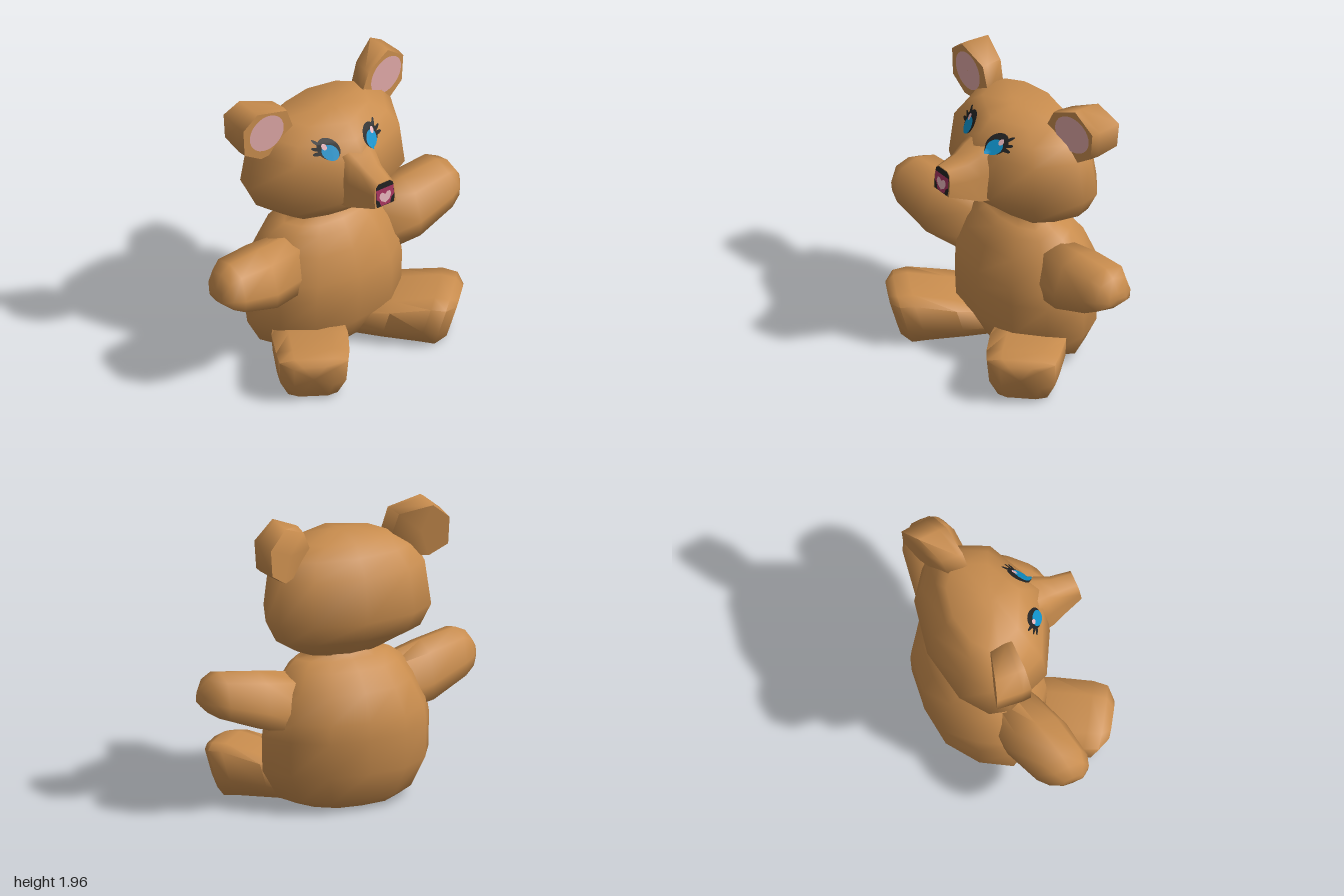
import * as THREE from 'three';
import { toCreasedNormals } from 'three/addons/utils/BufferGeometryUtils.js';

const mat = (name, color) => Object.assign(new THREE.MeshStandardMaterial({ color }), { name });

// Closed skin through a list of rings (each ring a list of [x, y, z]), capped at both ends
function loft(rings, crease = 1.5) {
  const n = rings[0].length, pos = rings.flat(2), idx = [];
  const centre = ring => [0, 1, 2].map(k => ring.reduce((s, p) => s + p[k], 0) / n);
  const last = (rings.length - 1) * n, c0 = rings.length * n;
  pos.push(...centre(rings[0]), ...centre(rings[rings.length - 1]));
  for (let i = 0; i < n; i++) {
    const j = (i + 1) % n;
    for (let r = 0; r < last; r += n) idx.push(r + i, r + j, r + n + j, r + i, r + n + j, r + n + i);
    idx.push(c0, j, i, c0 + 1, last + i, last + j);
  }
  // turn the faces outward if the rings ran the other way
  const v = k => new THREE.Vector3().fromArray(pos, idx[k] * 3);
  let volume = 0;
  for (let k = 0; k < idx.length; k += 3) volume += v(k).dot(v(k + 1).cross(v(k + 2)));
  if (volume < 0) idx.reverse();
  const g = new THREE.BufferGeometry();
  g.setAttribute('position', new THREE.Float32BufferAttribute(pos, 3));
  g.setIndex(idx);
  return toCreasedNormals(g, crease);
}

// Horizontal ring from a half outline of [width fraction, depth fraction], front to back
function ring(half, [y, w, front, back]) {
  const right = half.slice(1, -1).reverse().map(([u, t]) => [-u, t]);
  return [...half, ...right].map(([u, t]) => [u * w, y, back + (front - back) * t]);
}

export function createModel() {
  const model = new THREE.Group();
  model.name = 'teddyBear';
  const fur = mat('brown fur', 0xc98d4e), pink = mat('ear pink', 0xdfa8a6), black = mat('black', 0x222222);
  const blue = mat('eye blue', 0x0f90c8), magenta = mat('nose magenta', 0xa8355f), pale = mat('pale pink', 0xeab8bf);

  const add = (name, geometry, material = fur) => {
    const mesh = new THREE.Mesh(geometry, material);
    mesh.name = name;
    model.add(mesh);
    return mesh;
  };

  // Body
  const bodyHalf = [[0, 1], [0.5, 0.94], [0.81, 0.75], [1, 0.48], [0.81, 0.23], [0.46, 0.04], [0, 0]];
  add('body', loft([
    [0.03, 0.36, 0, -0.45], [0.08, 0.48, 0.1, -0.49], [0.27, 0.585, 0.2, -0.56], [0.5, 0.59, 0.21, -0.57],
    [0.62, 0.57, 0.21, -0.57], [0.8, 0.48, 0.15, -0.5], [0.92, 0.4, 0.08, -0.4],
    [0.97, 0.33, 0.03, -0.31], [1.0, 0.25, -0.01, -0.27], [1.04, 0.25, -0.02, -0.26],
  ].map(l => ring(bodyHalf, l))));

  // Head: blunt around the jaw, more wedge-shaped from the eyes up
  const headBack = [[1, 0.4], [0.94, 0.24], [0.63, 0.08], [0, 0]];
  const jaw = [[0, 1], [0.3, 0.95], [0.77, 0.78], ...headBack];
  const brow = [[0, 1], [0.34, 0.89], [0.77, 0.75], ...headBack];
  const head = add('head', loft([
    ...[[1.0, 0.25, -0.01, -0.27], [1.03, 0.33, 0.03, -0.29], [1.14, 0.5, 0.16, -0.47], [1.28, 0.57, 0.28, -0.54]]
      .map(l => ring(jaw, l)),
    ...[[1.57, 0.535, 0.27, -0.5], [1.68, 0.45, 0.18, -0.41], [1.765, 0.31, 0.1, -0.36], [1.79, 0.08, -0.05, -0.15]]
      .map(l => ring(brow, l)),
  ]));

  // Snout: narrower at the top, with a slightly tilted flat tip
  const snout = add('snout', loft([
    // z, bottom half width, top half width, bottom y, top y
    [0.15, 0.16, 0.13, 1.25, 1.64], [0.28, 0.14, 0.1, 1.268, 1.6],
    [0.36, 0.115, 0.08, 1.3, 1.56], [0.5, 0.08, 0.07, 1.355, 1.53],
  ].map(([z, b, t, lo, hi]) => [[b, lo], [(b + t) / 2 + 0.005, (lo + hi) / 2], [t, hi - 0.02], [t * 0.6, hi],
    [-t * 0.6, hi], [-t, hi - 0.02], [-(b + t) / 2 - 0.005, (lo + hi) / 2], [-b, lo]]
    .map(([x, y]) => [x, y, z - 0.08 * (y - 1.355)])), 1.2));

  // Ears: wedges that thicken toward the outside, with the front leaning back
  const ear = (name, outline, zAt) => {
    const cx = outline.reduce((s, p) => s + p[0], 0) / outline.length;
    return add(name, loft([[0, 0.98], [0.25, 1], [1, 0.92]].map(([d, k]) => outline.map(([x, y]) => {
      const px = cx + (x - cx) * k, out = Math.abs(px);
      return [px, 1.76 + (y - 1.76) * k, zAt(out) - d * (0.13 + 0.27 * (out - 0.28))];
    })), 1.3));
  };
  const leftEar = ear('leftEar',
    [[0.27, 1.75], [0.33, 1.88], [0.51, 1.96], [0.655, 1.84], [0.64, 1.65], [0.51, 1.56], [0.34, 1.6]],
    x => -0.145 - 0.21 * (x - 0.32));
  const rightEar = ear('rightEar',
    [[-0.29, 1.74], [-0.34, 1.89], [-0.57, 1.945], [-0.68, 1.855], [-0.67, 1.66], [-0.54, 1.58], [-0.36, 1.6]],
    x => -0.1 - 0.03 * (x - 0.32));

  // Arms: rings along x, swung by a slope in z
  const arm = (name, side, z0, slope) => add(name, loft([
    // x, bottom y, top y, bottom half depth, top half depth
    [0.3, 0.5, 0.89, 0.17, 0.11], [0.6, 0.545, 0.935, 0.21, 0.14], [0.87, 0.65, 0.965, 0.18, 0.13],
    [0.95, 0.7, 0.925, 0.14, 0.1], [1.0, 0.75, 0.84, 0.07, 0.06],
  ].map(([x, lo, hi, b, t]) => {
    const h = hi - lo;
    return [[0, hi], [t, hi - h * 0.12], [b, lo + h * 0.4], [b * 0.95, lo + h * 0.12], [0, lo],
      [-b * 0.95, lo + h * 0.12], [-b, lo + h * 0.4], [-t, hi - h * 0.12]]
      .map(([z, y]) => [side * x, y, z0 + slope * x + z]);
  })));
  arm('leftArm', 1, -0.16, 0.01);
  arm('rightArm', -1, -0.17, 0.21);

  // Legs: rings along the leg direction, ending in a sole that leans forward at the top
  const legRing = [[1, 0.93], [0.55, 1], [-0.55, 1], [-1, 0.93], [-0.96, 0.35], [-0.72, 0], [0.72, 0], [0.96, 0.35]];
  const leg = (name, [ex, ez], [dx, dz]) => add(name, loft([
    // distance from the sole, half width, bottom y, top y
    [-0.75, 0.2, 0.04, 0.21], [-0.35, 0.245, 0.035, 0.29], [-0.1, 0.235, 0.02, 0.345],
    [0, 0.22, 0.005, 0.335], [0.06, 0.13, 0.03, 0.31],
  ].map(([s, w, lo, hi]) => legRing.map(([u, v]) => {
    const y = lo + (hi - lo) * v, along = s + 0.28 * (y - 0.33);
    return [ex + dx * along + dz * u * w, y, ez + dz * along - dx * u * w];
  }))));
  leg('leftLeg', [0.635, 0.35], [0.707, 0.707]);
  leg('rightLeg', [-0.53, 0.46], [-0.52, 0.854]);

  // Painted details: flat patches laid onto the surface from the front
  const ray = new THREE.Raycaster(), ahead = new THREE.Vector3(0, 0, -1);
  const paint = (name, targets, geometry, material, lift) => {
    const p = geometry.attributes.position;
    for (let i = 0; i < p.count; i++) {
      ray.set(new THREE.Vector3(p.getX(i), p.getY(i), 3), ahead);
      const hit = ray.intersectObjects(targets)[0];
      if (hit) p.setZ(i, hit.point.z + lift);
    }
    geometry.computeVertexNormals();
    return add(name, geometry, material);
  };
  const oval = (x, y, rx, ry, turn = 0) =>
    new THREE.RingGeometry(0.001, 1, 28, 6).scale(rx, ry, 1).rotateZ(turn).translate(x, y, 0);
  const outline = pts => new THREE.ShapeGeometry(new THREE.Shape(pts.map(p => new THREE.Vector2(...p))));

  paint('leftInnerEar', [leftEar], oval(0.488, 1.775, 0.138, 0.13), pink, 0.005);
  paint('rightInnerEar', [rightEar], oval(-0.5, 1.775, 0.13, 0.132), pink, 0.005);

  // Eyes with lashes on the outer side
  const face = [head, snout];
  for (const [side, x] of [[1, 0.13], [-1, 0.18]]) {
    const at = (dx, y, rx, ry, turn = 0) => oval(side * (x + dx), y, rx, ry, side * turn);
    const label = side > 0 ? 'left' : 'right';
    paint(label + 'EyeRim', face, at(0, 1.65, 0.068, 0.06), black, 0.004);
    paint(label + 'Iris', face, at(-0.002, 1.632, 0.05, 0.044), blue, 0.008);
    paint(label + 'EyeGlint', face, at(0.024, 1.668, 0.016, 0.018), pale, 0.012);
    for (const [dx, y, turn] of [[0.07, 1.63, -0.1], [0.07, 1.655, 0.25], [0.055, 1.685, 0.7]])
      paint(label + 'Lash', face, at(dx, y, 0.032, 0.01, turn), black, 0.005);
  }

  // Nose and mouth on the snout tip
  paint('nosePatch', [snout], outline([[-0.066, 1.358], [0.066, 1.358], [0.073, 1.4], [0.068, 1.505],
    [0.045, 1.527], [-0.045, 1.527], [-0.068, 1.505], [-0.073, 1.4]]), black, 0.003);
  paint('mouth', [snout], outline([[-0.035, 1.362], [0.035, 1.362], [0.047, 1.4], [0.069, 1.42],
    [0.067, 1.487], [-0.067, 1.487], [-0.069, 1.42], [-0.047, 1.4]]), magenta, 0.005);
  paint('tongue', [snout], outline([[0, 1.378], [0.033, 1.4], [0.047, 1.43], [0.038, 1.455], [0.02, 1.46],
    [0, 1.442], [-0.02, 1.46], [-0.038, 1.455], [-0.047, 1.43], [-0.033, 1.4]]), pale, 0.007);

  return model;
}
